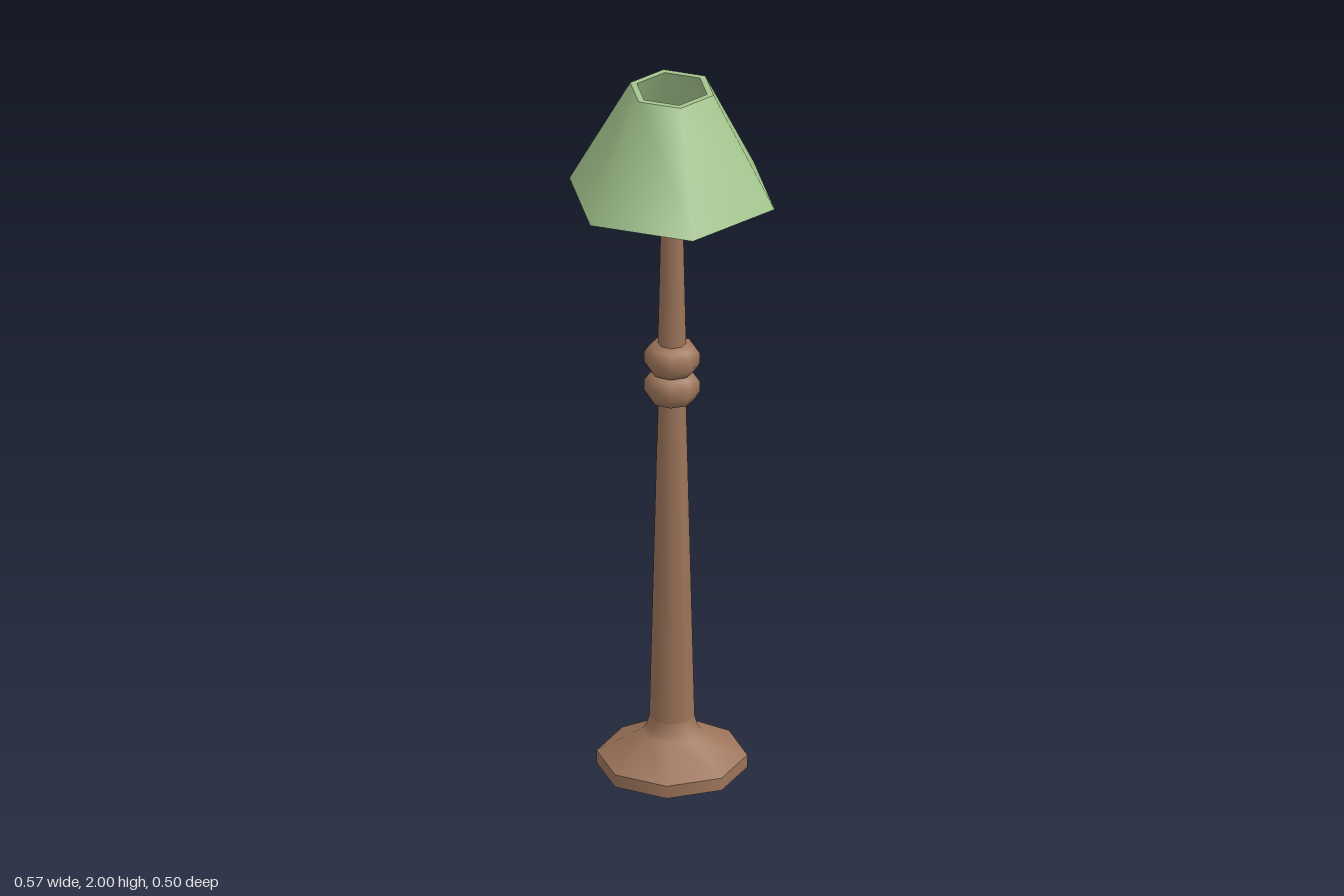
import * as THREE from 'three';
import { mergeGeometries } from 'three/addons/utils/BufferGeometryUtils.js';

// Each run of [radius, y] points is smooth; edges between runs stay sharp.
function turned(sides, start, runs) {
  return mergeGeometries(runs.map((run) => new THREE.LatheGeometry(
    run.map(([r, y]) => new THREE.Vector2(r, y)), sides, start)));
}

export function createModel() {
  const wood = new THREE.MeshStandardMaterial({ color: 0x9c745a });
  wood.name = 'brown wood';
  const fabric = new THREE.MeshStandardMaterial({ color: 0xa3c58d });
  fabric.name = 'green fabric';

  const lamp = new THREE.Group();
  lamp.name = 'floorLamp';
  const add = (name, geometry, material, y = 0) => {
    const mesh = new THREE.Mesh(geometry, material);
    mesh.name = name;
    mesh.position.y = y;
    lamp.add(mesh);
  };

  // Eight-sided foot, flaring into the stem
  add('base', turned(8, 0, [
    [[0, 0], [0.2, 0]],
    [[0.2, 0], [0.2, 0.036]],
    [[0.2, 0.036], [0.082, 0.104], [0.068, 0.12], [0.06, 0.148]],
  ]), wood);

  // Tapered lower and upper stem
  add('lowerStem', turned(8, 0, [[[0.06, 0.148], [0.037, 1.09]]]), wood);
  add('upperStem', turned(8, 0, [
    [[0.038, 1.23], [0.027, 1.72]],
    [[0.027, 1.72], [0, 1.72]],
  ]), wood);

  // Two turned collars
  const collar = turned(8, 0, [[
    [0.036, -0.044], [0.06, -0.038], [0.074, -0.015],
    [0.074, 0.015], [0.06, 0.035], [0.036, 0.044],
  ]]);
  add('lowerCollar', collar, wood, 1.122);
  add('upperCollar', collar, wood, 1.206);

  // Six-sided open shade with wall thickness
  add('shade', turned(6, Math.PI / 6, [
    [[0.287, 1.69], [0.117, 2]],
    [[0.117, 2], [0.098, 2]],
    [[0.098, 2], [0.251, 1.69]],
    [[0.251, 1.69], [0.287, 1.69]],
  ]), fabric);

  return lamp;
}
